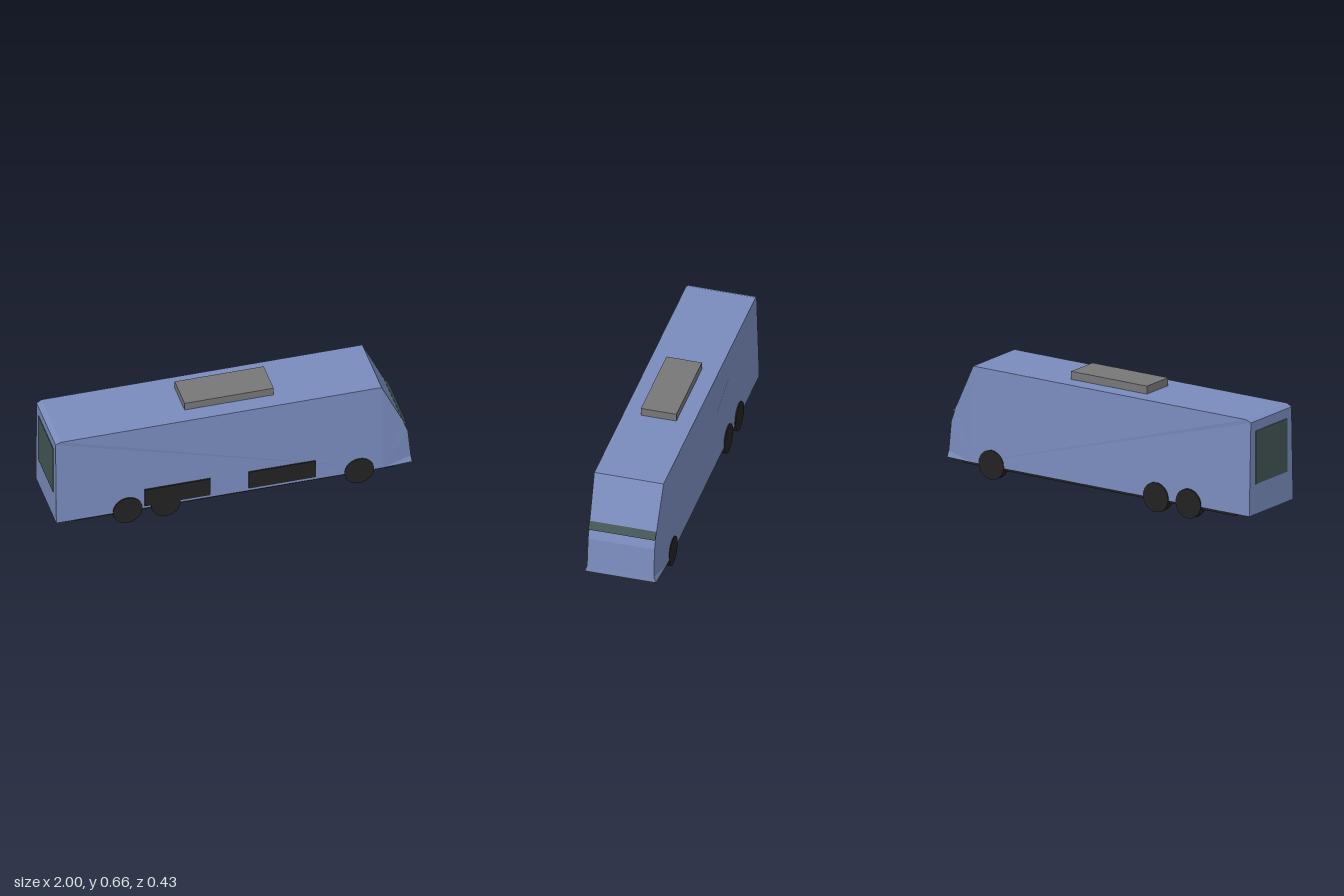
import * as THREE from 'three';

const flat = (name, color) => {
  const m = new THREE.MeshStandardMaterial({ color });
  m.name = name;
  return m;
};

// Closed solid from a counterclockwise side outline of [x, y, halfWidth].
// The side walls fan out from the outline point at index hub.
function solidFromOutline(points, hub) {
  const pos = [];
  const n = points.length;
  const at = (i, side) => {
    const [x, y, w] = points[i % n];
    return [x, y, w * side];
  };
  const tri = (a, b, c) => pos.push(...a, ...b, ...c);
  for (let i = 0; i < n; i++) {
    tri(at(i, 1), at(i, -1), at(i + 1, -1));
    tri(at(i, 1), at(i + 1, -1), at(i + 1, 1));
    if (i === hub || (i + 1) % n === hub) continue;
    tri(at(hub, 1), at(i, 1), at(i + 1, 1));
    tri(at(hub, -1), at(i + 1, -1), at(i, -1));
  }
  const g = new THREE.BufferGeometry();
  g.setAttribute('position', new THREE.Float32BufferAttribute(pos, 3));
  g.computeVertexNormals();
  return g;
}

export function createModel() {
  const paint = flat('blue paint', 0x7a8cbd);
  const black = flat('black', 0x222222);
  const glass = flat('dark glass', 0x445555);
  const grey = flat('grey', 0x777777);

  const bus = new THREE.Group();
  bus.name = 'bus';
  const add = (name, geometry, material, x = 0, y = 0, z = 0) => {
    const mesh = new THREE.Mesh(geometry, material);
    mesh.name = name;
    mesh.position.set(x, y, z);
    bus.add(mesh);
    return mesh;
  };
  // Box given by its minimum and maximum corners
  const box = (name, material, [x0, y0, z0], [x1, y1, z1]) =>
    add(name, new THREE.BoxGeometry(x1 - x0, y1 - y0, z1 - z0), material,
      (x0 + x1) / 2, (y0 + y1) / 2, (z0 + z1) / 2);

  // Body shell: sides lean in towards the roof and the nose tapers
  add('body', solidFromOutline([
    [-1, 0.075, 0.207],
    [0.83, 0.075, 0.211],
    [1, 0.075, 0.2],
    [0.996, 0.11, 0.188],
    [0.98, 0.28, 0.187],
    [0.945, 0.372, 0.188],
    [0.83, 0.615, 0.195],
    [-0.97, 0.615, 0.195],
    [-1, 0.6, 0.192],
  ], 1), paint);

  // Lip of dark glass across the nose
  add('windscreenLip', solidFromOutline([
    [0.94, 0.335, 0.188],
    [0.974, 0.335, 0.188],
    [0.945, 0.374, 0.188],
  ], 0), glass);

  box('rearWindow', glass, [-1.003, 0.245, -0.15], [-0.997, 0.545, 0.15]);
  box('floor', black, [-0.9, 0.06, -0.195], [0.9, 0.085, 0.195]);
  box('roofUnit', grey, [-0.25, 0.605, -0.1], [0.25, 0.66, 0.1]);

  // Luggage doors on one side
  for (const [x0, x1] of [[-0.505, -0.135], [0.08, 0.455]]) {
    box('luggageDoor', black, [x0, 0.093, 0.205], [x1, 0.203, 0.214]);
  }

  // Wheels: twin rear axles and one front axle
  const wheelGeometry = new THREE.CylinderGeometry(0.083, 0.083, 0.05, 24).rotateX(Math.PI / 2);
  for (const x of [-0.6, -0.385, 0.7]) {
    for (const side of [1, -1]) add('wheel', wheelGeometry, black, x, 0.083, side * 0.188);
  }

  return bus;
}
